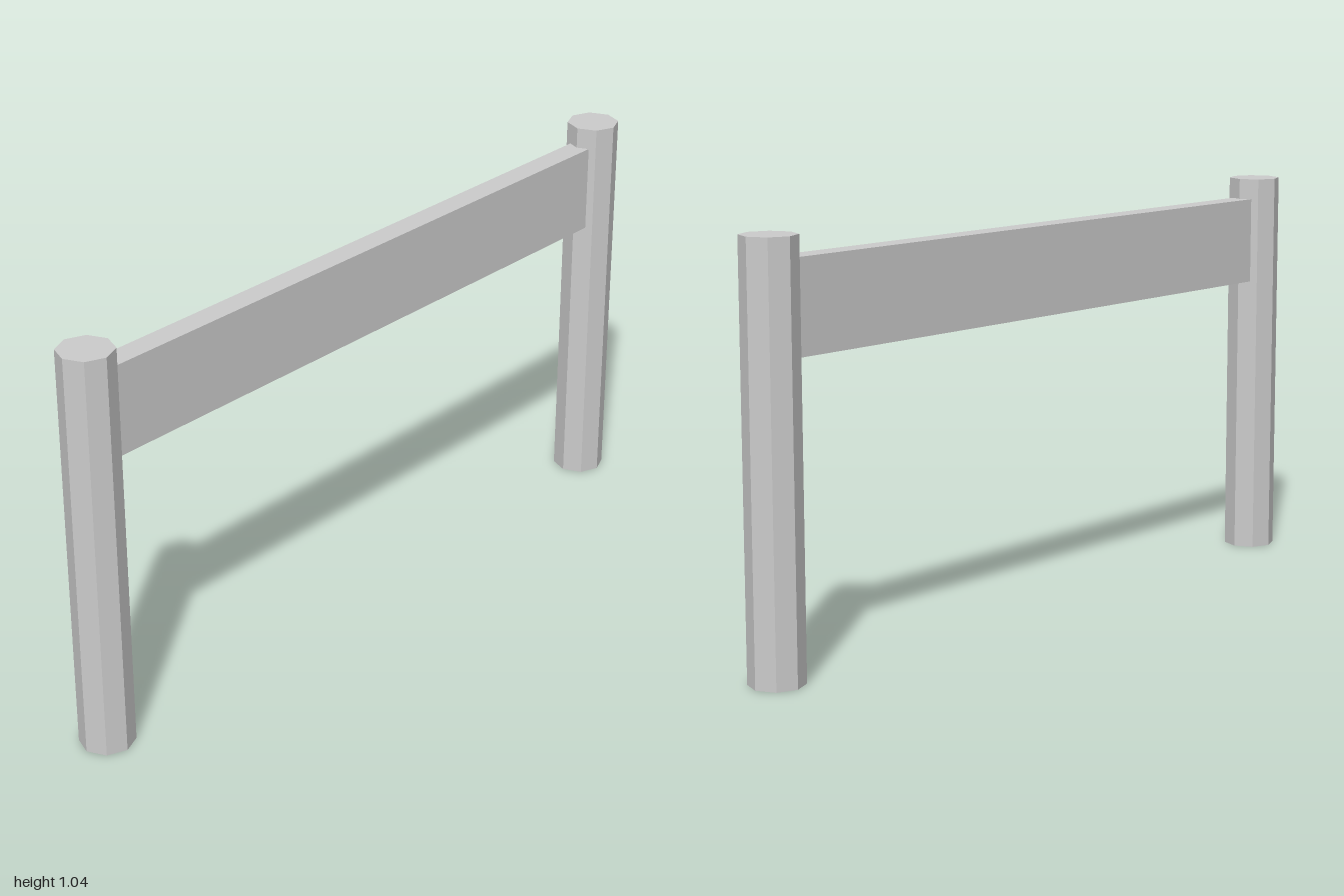
import * as THREE from 'three';

export function createModel() {
  const group = new THREE.Group();
  const material = new THREE.MeshStandardMaterial({ color: 0xcccccc, flatShading: true });
  const postRadius = 0.069, postHeight = 1.045, postX = 1 - postRadius;

  // Octagonal posts, one at each end
  const postGeometry = new THREE.CylinderGeometry(postRadius, postRadius, postHeight, 8);
  for (const [name, side] of [['leftPost', 1], ['rightPost', -1]]) {
    const post = new THREE.Mesh(postGeometry, material);
    post.name = name;
    post.position.set(side * postX, postHeight / 2, 0);
    group.add(post);
  }

  // Plank let into both posts
  const plank = new THREE.Mesh(new THREE.BoxGeometry(postX * 2, 0.23, 0.062), material);
  plank.name = 'plank';
  plank.position.y = 0.875;
  group.add(plank);

  return group;
}
